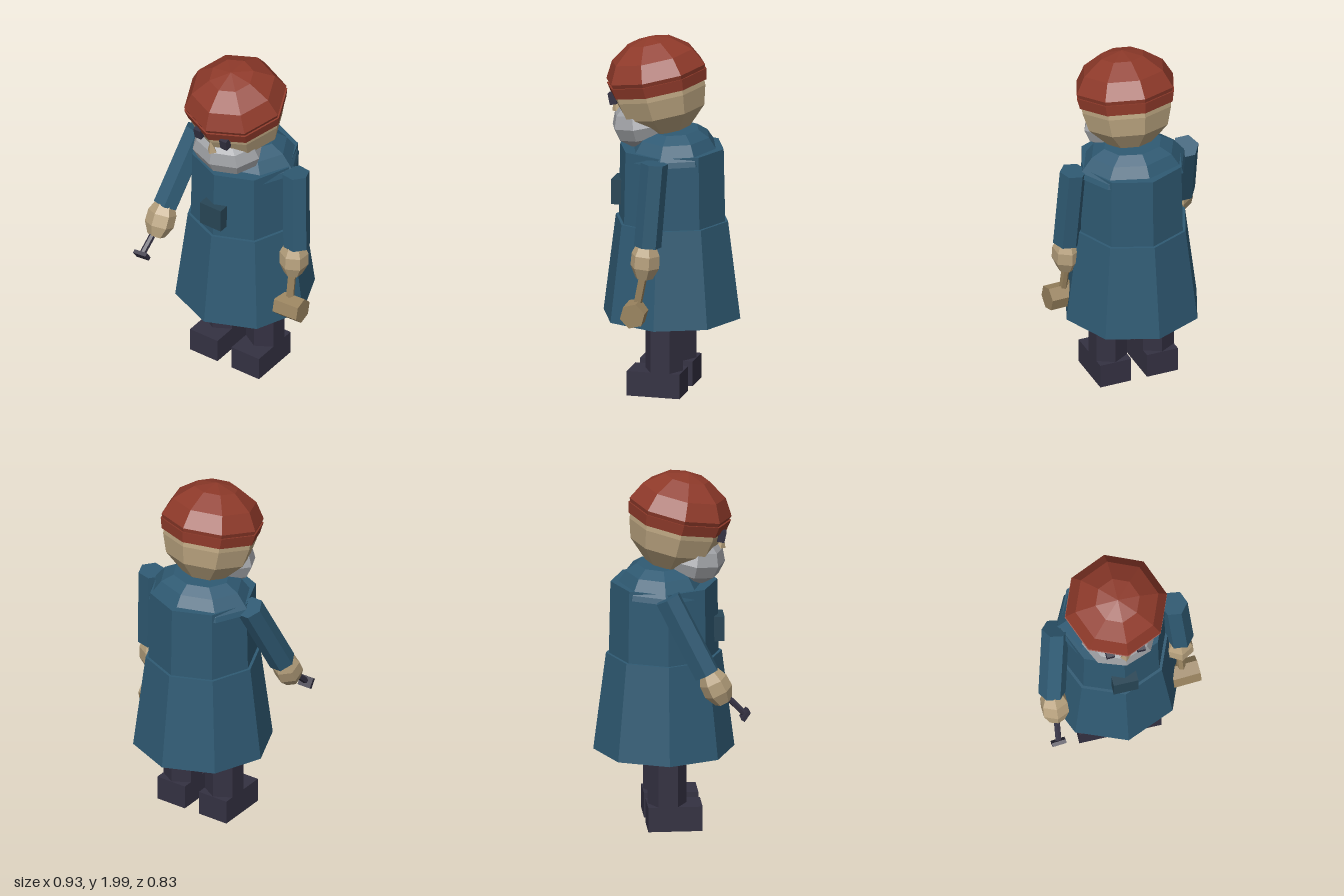
import * as THREE from 'three';

const mat = (color) => new THREE.MeshStandardMaterial({ color, flatShading: true });

export function createModel() {
  const model = new THREE.Group();
  const coat = mat(0x2f5a73), coatDark = mat(0x284656), red = mat(0x8f3a2a), skin = mat(0xb8a27e);
  const grey = mat(0xa0a2a6), dark = mat(0x343142), wood = mat(0x99835f), trousers = mat(0x28456a);

  const add = (name, geometry, material, parent = model) => {
    const mesh = new THREE.Mesh(geometry, material);
    mesh.name = name;
    parent.add(mesh);
    return mesh;
  };
  // Faceted solid of revolution; profile runs from bottom to top
  const lathe = (name, profile, sides, material, parent) =>
    add(name, new THREE.LatheGeometry(profile.map(([r, y]) => new THREE.Vector2(r, y)), sides), material, parent);
  const box = (name, size, pos, material, parent) => {
    const mesh = add(name, new THREE.BoxGeometry(...size), material, parent);
    mesh.position.set(...pos);
    return mesh;
  };
  // Faceted rod between two points
  const rod = (name, from, to, rFrom, rTo, sides, material) => {
    const a = new THREE.Vector3(...from), b = new THREE.Vector3(...to);
    const dir = b.clone().sub(a);
    const mesh = add(name, new THREE.CylinderGeometry(rTo, rFrom, dir.length(), sides), material);
    mesh.position.copy(a).add(b).multiplyScalar(0.5);
    mesh.quaternion.setFromUnitVectors(new THREE.Vector3(0, 1, 0), dir.normalize());
    return mesh;
  };

  // Coat: flared skirt, straight body and sloping shoulders
  lathe('coatSkirt', [[0, 0.42], [0.39, 0.42], [0.32, 0.97], [0, 0.97]], 8, coat).position.z = -0.025;
  lathe('coatBody', [[0, 0.9], [0.305, 0.9], [0.295, 1.38], [0, 1.38]], 8, coat).position.z = -0.025;
  const shoulders = lathe('coatShoulders',
    [[0, 1.32], [0.32, 1.33], [0.31, 1.36], [0.245, 1.44], [0.17, 1.48], [0, 1.48]], 8, coat);
  shoulders.scale.z = 0.8;
  shoulders.position.z = -0.04;
  box('chestPocket', [0.14, 0.14, 0.07], [0, 1.11, 0.27], coatDark);

  // Head and hat share a forward tilt
  const head = new THREE.Group();
  head.name = 'head';
  head.position.set(0, 1.715, 0.05);
  head.rotation.x = 0.21;
  model.add(head);
  lathe('skull', [[0, -0.265], [0.13, -0.245], [0.235, -0.14], [0.265, -0.03], [0.265, 0.05], [0, 0.06]], 8, skin, head);
  lathe('hatBand', [[0, 0], [0.277, 0], [0.29, 0.062], [0, 0.065]], 8, red, head);
  lathe('hatCrown', [[0, 0.05], [0.275, 0.05], [0.288, 0.085], [0.235, 0.18], [0.125, 0.258], [0, 0.285]], 8, red, head);

  // Face
  const beard = add('beard', new THREE.SphereGeometry(1, 8, 6), grey);
  beard.scale.set(0.212, 0.14, 0.175);
  beard.position.set(0, 1.508, 0.14);
  beard.rotation.x = 0.15;
  for (const s of [-1, 1]) box('eye', [0.045, 0.065, 0.04], [s * 0.087, 1.652, 0.287], dark).rotation.x = 0.21;
  const nose = add('nose', new THREE.ConeGeometry(0.03, 0.08, 4), skin);
  nose.position.set(0, 1.6, 0.295);
  nose.rotation.x = 0.21;

  // Legs and boots
  for (const s of [-1, 1]) {
    rod('trouserLeg', [s * 0.14, 0.3, -0.02], [s * 0.14, 0.55, -0.02], 0.09, 0.09, 6, trousers);
    rod('bootShaft', [s * 0.14, 0.1, -0.02], [s * 0.14, 0.39, -0.02], 0.107, 0.107, 6, dark);
    box('bootFoot', [0.185, 0.14, 0.3], [s * 0.14, 0.07, 0.02], dark);
  }

  // Arms: the right one reaches forward, the left one hangs
  rod('rightSleeve', [-0.32, 1.37, -0.03], [-0.39, 0.95, 0.18], 0.076, 0.076, 6, coat);
  rod('leftSleeve', [0.348, 1.37, -0.02], [0.375, 0.9, 0.012], 0.076, 0.076, 6, coat);
  const handProfile = [[0, -0.095], [0.05, -0.095], [0.082, -0.03], [0.08, 0.04], [0.055, 0.095], [0, 0.095]];
  const rightHand = lathe('rightHand', handProfile, 6, skin);
  rightHand.position.set(-0.388, 0.875, 0.232);
  rightHand.rotation.x = -0.45;
  const leftHand = lathe('leftHand', handProfile, 6, skin);
  leftHand.position.set(0.367, 0.812, 0.028);
  leftHand.rotation.x = -0.07;

  // Mallet in the left hand
  rod('malletHandle', [0.365, 0.75, 0.035], [0.372, 0.52, 0.078], 0.023, 0.023, 6, wood);
  const malletHead = add('malletHead', new THREE.CylinderGeometry(0.072, 0.072, 0.155, 6), wood);
  malletHead.position.set(0.385, 0.518, 0.08);
  malletHead.rotation.set(0.25, 0.05, Math.PI / 2);

  // Small chisel-like tool in the right hand
  rod('toolShaft', [-0.388, 0.84, 0.27], [-0.402, 0.725, 0.385], 0.018, 0.018, 6, dark);
  const toolHead = box('toolHead', [0.08, 0.06, 0.022], [-0.403, 0.718, 0.389], dark);
  toolHead.rotation.set(0.6, 0.08, 0);

  return model;
}
